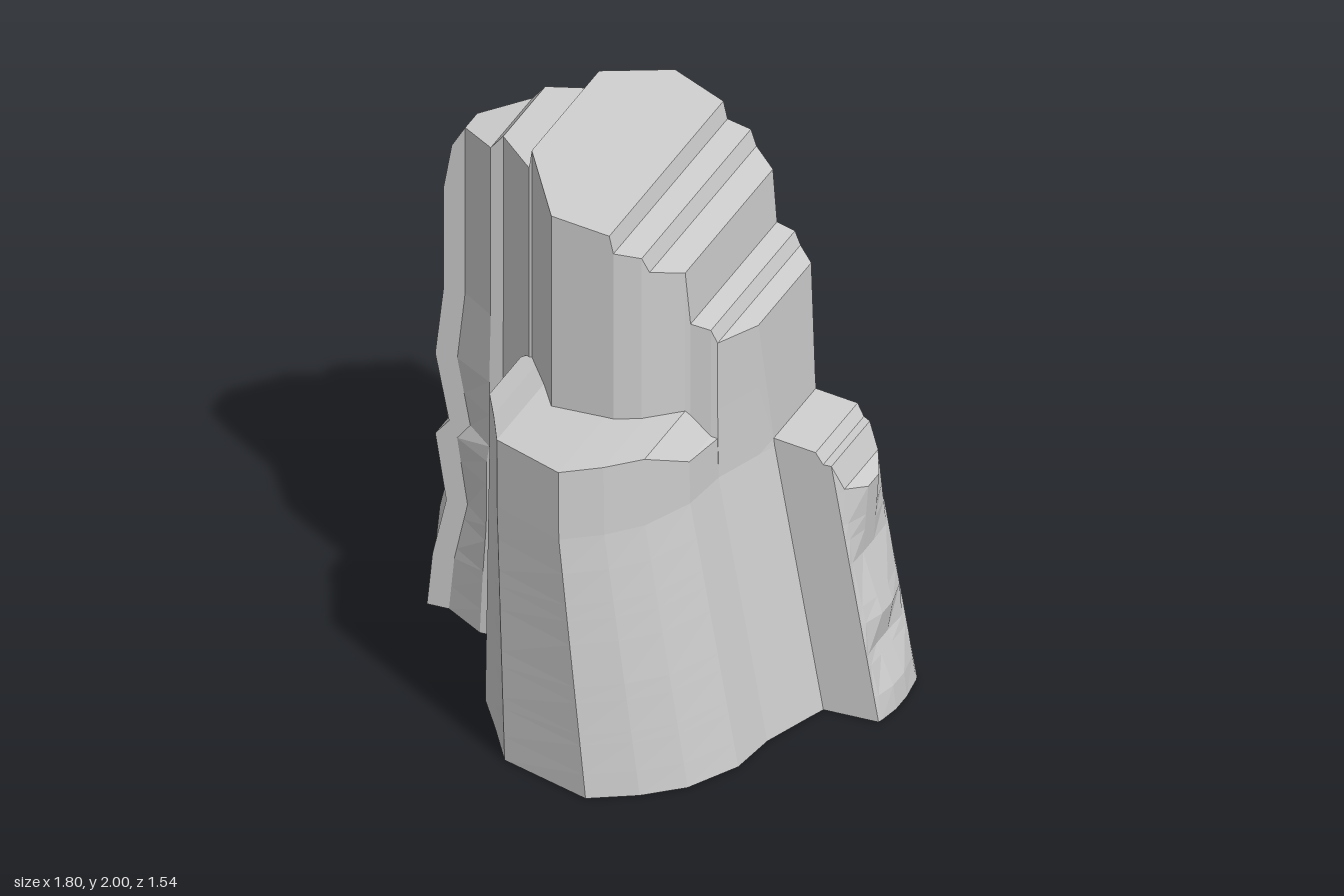
import * as THREE from 'three';

// Heights at which the rock strata bend
const LEVELS = [0, 0.09, 0.2, 0.24, 0.36, 0.42, 0.58, 0.67, 0.73, 0.85, 0.98, 1.24, 1.6, 3];

// Sideways drift of the eroded edges, as [height, offset]
const LEFT_EDGE = [[0, -0.03], [0.2, -0.01], [0.42, 0.04], [0.67, 0], [0.73, 0.05], [0.98, 0], [1.24, 0.03], [2, 0.03]];
const RIGHT_EDGE = [[0, 0.1], [0.09, 0.09], [0.24, 0.03], [0.36, 0.05], [0.58, -0.02], [0.85, 0], [2, 0]];

const clamp = THREE.MathUtils.clamp;
const lerp = THREE.MathUtils.lerp;

function sample(table, y) {
  for (let i = 1; i < table.length; i++) {
    const [y0, v0] = table[i - 1], [y1, v1] = table[i];
    if (y <= y1) return lerp(v0, v1, (y - y0) / (y1 - y0));
  }
  return table[table.length - 1][1];
}

// The base spreads to the right, and both outer edges waver
function drift(x, y) {
  const spread = 0.18 * clamp((x + 0.3) / 0.7, -0.2, 1) * Math.max(0, 1 - y);
  const left = clamp((-0.5 - x) / 0.2, 0, 1);
  const right = clamp((x - 0.7) / 0.1, 0, 1);
  return lerp(lerp(spread, sample(LEFT_EDGE, y), left), sample(RIGHT_EDGE, y), right);
}

// Rock mass from columns of [x, top height, front z, back z], left to right
function rockMass(name, columns, material) {
  const ring = [
    ...columns.map(([x, top, front]) => [x, top, front]),
    ...columns.map(([x, top, , back]) => [x, top, back]).reverse(),
  ];
  const n = ring.length, positions = [], index = [];
  for (const level of LEVELS) {
    for (const [x, top, z] of ring) {
      const y = Math.min(level, top);
      positions.push(x + drift(x, y), y, z);
    }
  }
  const quad = (a, b, c, d) => index.push(a, b, c, a, c, d);

  // Side walls
  for (let j = 0; j < LEVELS.length - 1; j++) {
    for (let i = 0; i < n; i++) {
      const a = j * n + i, b = j * n + (i + 1) % n;
      quad(a, b, b + n, a + n);
    }
  }
  // Stepped top and flat underside
  const t = (LEVELS.length - 1) * n;
  for (let i = 0; i < columns.length - 1; i++) {
    const f0 = i, f1 = i + 1, b0 = n - 1 - i, b1 = n - 2 - i;
    quad(t + f0, t + f1, t + b1, t + b0);
    quad(f0, b0, b1, f1);
  }

  const indexed = new THREE.BufferGeometry();
  indexed.setAttribute('position', new THREE.Float32BufferAttribute(positions, 3));
  indexed.setIndex(index);
  const geometry = indexed.toNonIndexed();
  geometry.computeVertexNormals();
  const mesh = new THREE.Mesh(geometry, material);
  mesh.name = name;
  return mesh;
}

export function createModel() {
  const group = new THREE.Group();
  group.name = 'rockFormation';
  const stone = new THREE.MeshStandardMaterial({ color: 0xcccccc, flatShading: true });

  // Tall tower, stepping down to the right
  group.add(rockMass('mainTower', [
    [-0.77, 1.63, -0.17, -0.27],
    [-0.74, 1.8, -0.17, -0.27],
    [-0.69, 1.88, -0.17, -0.27],
    [-0.53, 1.89, -0.07, -0.42],
    [-0.48, 1.945, -0.07, -0.42],
    [-0.33, 1.93, 0.06, -0.5],
    [-0.32, 2, 0.06, -0.5],
    [-0.11, 1.973, 0.38, -0.65],
    [0.1, 1.945, 0.38, -0.57],
    [0.115, 1.88, 0.38, -0.57],
    [0.2, 1.86, 0.34, -0.57],
    [0.22, 1.8, 0.32, -0.57],
    [0.31, 1.77, 0.23, -0.5],
    [0.325, 1.57, 0.22, -0.5],
    [0.39, 1.55, 0.2, -0.5],
    [0.41, 1.5, 0.19, -0.5],
    [0.475, 1.48, 0, -0.44],
    [0.5, 1.01, -0.07, -0.42],
    [0.65, 0.99, -0.07, -0.42],
    [0.67, 0.95, -0.07, -0.41],
    [0.7, 0.95, -0.07, -0.39],
    [0.73, 0.86, -0.09, -0.37],
    [0.8, 0.84, -0.17, -0.26],
  ], stone));

  // Lower shelf bulging to the front
  group.add(rockMass('frontButtress', [
    [-0.36, 1.19, 0.32, 0.06],
    [-0.28, 1.21, 0.47, 0],
    [-0.19, 1.235, 0.65, 0],
    [0.085, 1.24, 0.77, 0],
    [0.21, 1.24, 0.68, 0],
    [0.31, 1.235, 0.57, 0],
    [0.39, 1.14, 0.38, 0],
    [0.41, 1.13, 0.19, 0],
  ], stone));

  // Low shelf at the back
  group.add(rockMass('backShelf', [
    [-0.87, 0.98, -0.46, -0.47],
    [-0.76, 0.98, -0.27, -0.64],
    [-0.68, 0.98, -0.27, -0.75],
    [-0.46, 0.98, -0.3, -0.73],
    [-0.19, 0.97, -0.3, -0.77],
    [-0.08, 0.97, -0.3, -0.65],
  ], stone));

  return group;
}
